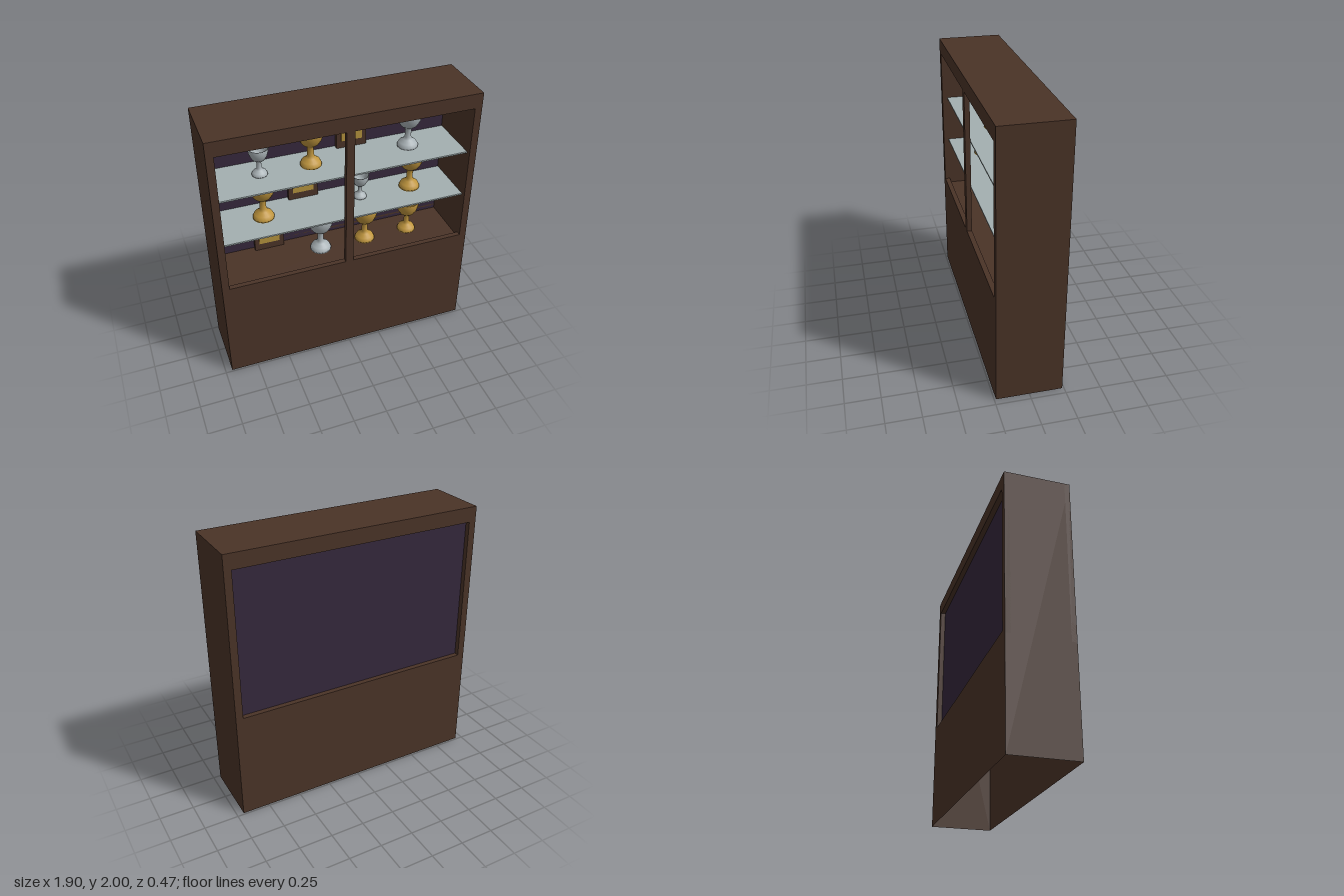
import * as THREE from 'three';

export function createModel() {
  const model = new THREE.Group();
  model.name = 'displayCabinet';

  const mat = (name, color, side = THREE.FrontSide) => {
    const m = new THREE.MeshStandardMaterial({ color, side });
    m.name = name;
    return m;
  };
  const wood = mat('darkWood', 0x4a3327, THREE.DoubleSide);
  const lining = mat('purpleLining', 0x35283c, THREE.DoubleSide);
  const glass = mat('shelfGlass', 0xa3afb0);
  const gold = mat('gold', 0xc0963e, THREE.DoubleSide);
  const silver = mat('silver', 0xacb5b9, THREE.DoubleSide);
  const print = mat('yellowPrint', 0xb1903c);

  const add = (name, geo, material, x = 0, y = 0, z = 0, parent = model) => {
    const mesh = new THREE.Mesh(geo, material);
    mesh.name = name;
    mesh.position.set(x, y, z);
    parent.add(mesh);
    return mesh;
  };
  const plane = (w, h, rx = 0, ry = 0) => new THREE.PlaneGeometry(w, h).rotateX(rx).rotateY(ry);
  const rect = (x0, x1, y0, y1, Type = THREE.Shape) =>
    new Type([[x0, y0], [x1, y0], [x1, y1], [x0, y1]].map(p => new THREE.Vector2(...p)));

  // Main dimensions
  const W = 0.95, H = 2, D = 0.2375, T = 0.0375;
  const IN = 0.897, floorY = 0.773, sill = 0.81, head = 1.89;

  // Hollow carcass, open underneath
  add('topPanel', plane(2 * W, 2 * D, -Math.PI / 2), wood, 0, H, 0);
  for (const s of [1, -1]) {
    add('sidePanel', plane(2 * D, H, 0, s * Math.PI / 2), wood, s * W, H / 2, 0);
    add('innerSide', plane(2 * (D - T), head - floorY, 0, -s * Math.PI / 2), wood,
      s * IN, (head + floorY) / 2, 0);
    add('lowerPanel', plane(2 * W, floorY, 0, s > 0 ? 0 : Math.PI), wood, 0, floorY / 2, s * D);
  }
  add('cabinetFloor', plane(2 * W, 2 * D, -Math.PI / 2), wood, 0, floorY, 0);
  add('cabinetCeiling', plane(2 * IN, 2 * (D - T), Math.PI / 2), wood, 0, head, 0);

  // Upper frames with window openings
  const frame = (name, holes, z) => {
    const shape = rect(-W, W, floorY, H);
    shape.holes = holes.map(([a, b]) => rect(a, b, sill, head, THREE.Path));
    add(name, new THREE.ExtrudeGeometry(shape, { depth: T, bevelEnabled: false }), wood, 0, 0, z);
  };
  frame('frontFrame', [[-IN, -0.03], [0.028, IN]], D - T);
  frame('backFrame', [[-IN, IN]], -D);
  add('backLining', plane(2 * IN, head - floorY), lining, 0, (head + floorY) / 2, -D + T);

  // Shelves
  const shelfTops = [1.17, 1.53];
  for (const y of shelfTops)
    add('shelf', new THREE.BoxGeometry(2 * IN, 0.011, 2 * (D - T) - 0.002), glass, 0, y - 0.0055, 0);

  // Trophy cups: unit profile as radius and height fractions of the cup height
  const profile = [
    [0, 0], [0.26, 0], [0.26, 0.05], [0.22, 0.13], [0.12, 0.2], [0.08, 0.27], [0.075, 0.47],
    [0.11, 0.52], [0.21, 0.6], [0.28, 0.72], [0.315, 0.84], [0.345, 1],
    [0.31, 1], [0.26, 0.76], [0.18, 0.63], [0, 0.58],
  ].map(p => new THREE.Vector2(...p));
  const cupGeo = new THREE.LatheGeometry(profile, 20);
  const cups = [
    [-0.56, 1.53, 0.21, silver], [-0.195, 1.53, 0.29, gold], [0.535, 1.53, 0.29, silver],
    [-0.555, 1.17, 0.295, gold], [0.175, 1.17, 0.19, silver], [0.57, 1.17, 0.295, gold],
    [-0.135, floorY, 0.297, silver], [0.22, floorY, 0.287, gold], [0.568, floorY, 0.265, gold],
  ];
  for (const [x, y, h, m] of cups) add('trophyCup', cupGeo, m, x, y, -0.025).scale.setScalar(h);

  // Framed pictures standing against the lining
  for (const [x, y] of [[0.155, 1.53], [-0.217, 1.17], [-0.495, floorY]]) {
    const g = new THREE.Group();
    g.name = 'framedPicture';
    g.position.set(x, y, -0.172);
    model.add(g);
    add('pictureFrame', new THREE.BoxGeometry(0.224, 0.285, 0.03), wood, 0, 0.1425, 0, g);
    add('picturePrint', new THREE.BoxGeometry(0.157, 0.175, 0.006), print, 0, 0.1425, 0.016, g);
  }
  return model;
}
